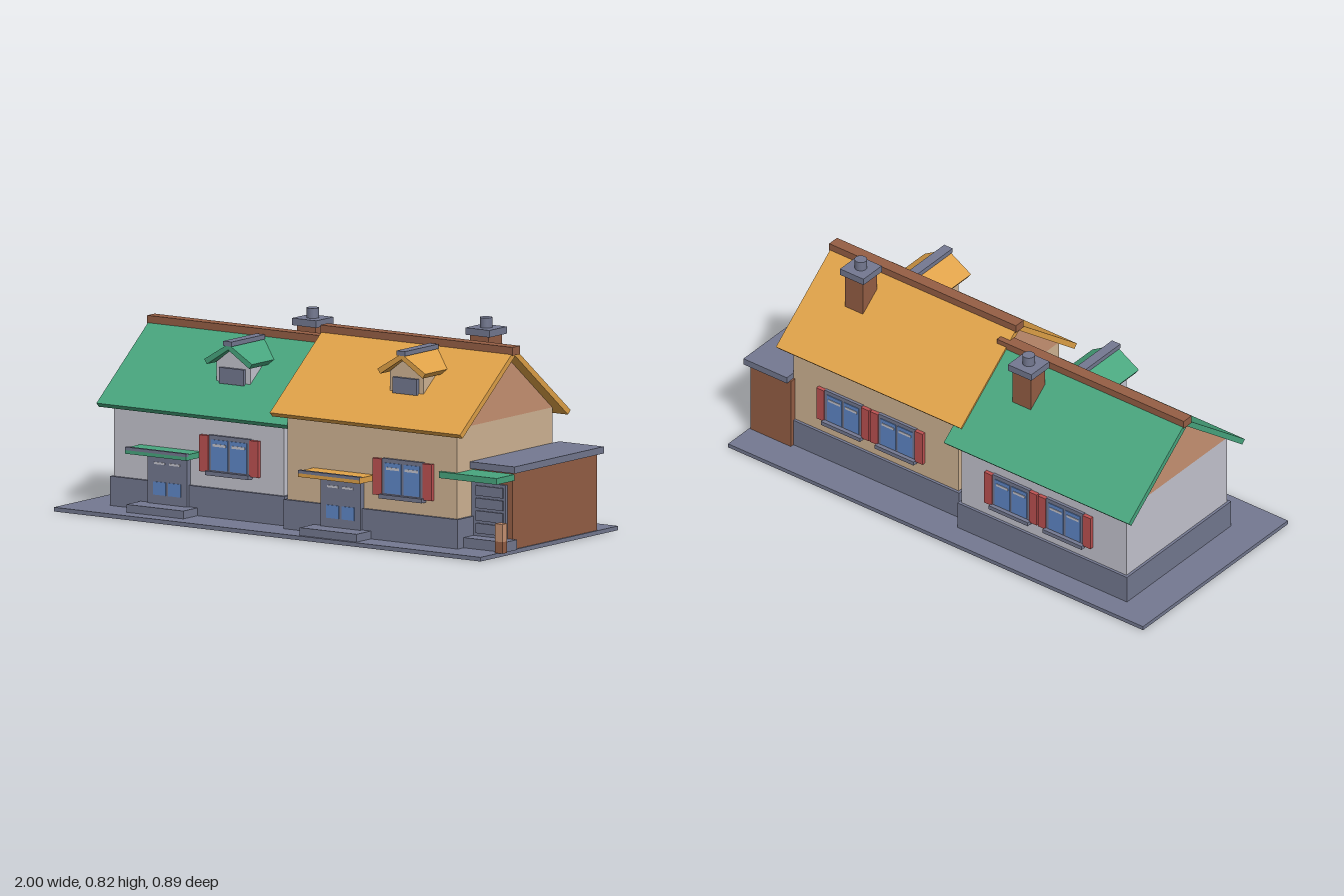
import * as THREE from 'three';

const mat = (name, color, side = THREE.FrontSide) => {
  const m = new THREE.MeshStandardMaterial({ color });
  m.name = name;
  m.side = side;
  return m;
};
const M = {
  slate: mat('slate grey', 0x747991),
  green: mat('green roof', 0x48a67e),
  orange: mat('orange roof', 0xe0a248),
  white: mat('white plaster', 0xc6c6d0),
  tan: mat('tan plaster', 0xd2b695),
  brick: mat('brick', 0x965f45),
  gable: mat('gable clay', 0xc99373),
  red: mat('shutter red', 0xbd5252),
  glass: mat('glass blue', 0x5f88c8),
};

// Box given by its min and max on each axis
function box(parent, name, material, x0, x1, y0, y1, z0, z1) {
  const mesh = new THREE.Mesh(new THREE.BoxGeometry(x1 - x0, y1 - y0, z1 - z0), material);
  mesh.position.set((x0 + x1) / 2, (y0 + y1) / 2, (z0 + z1) / 2);
  mesh.name = name;
  parent.add(mesh);
  return mesh;
}

// Outline in the x-y plane, extruded from z0 to z1
function prism(parent, name, material, pts, z0, z1) {
  const shape = new THREE.Shape(pts.map(p => new THREE.Vector2(p[0], p[1])));
  const geo = new THREE.ExtrudeGeometry(shape, { depth: z1 - z0, bevelEnabled: false });
  geo.translate(0, 0, z0);
  const mesh = new THREE.Mesh(geo, material);
  mesh.name = name;
  parent.add(mesh);
  return mesh;
}

function group(parent, name, x = 0, y = 0, z = 0) {
  const g = new THREE.Group();
  g.name = name;
  g.position.set(x, y, z);
  parent.add(g);
  return g;
}

// Shuttered window facing +z, wall plane at z = 0
function windowUnit(parent, x, z, halfW, shutterW, back) {
  const g = group(parent, back ? 'backWindow' : 'frontWindow', x, 0, z);
  if (back) g.rotation.y = Math.PI;
  const w = halfW;
  box(g, 'windowFrame', M.slate, -w, w, 0.185, 0.33, -0.01, 0.012);
  box(g, 'windowSill', M.slate, -w - 0.005, w + 0.005, 0.178, 0.194, -0.01, 0.029);
  for (const s of [-1, 1]) {
    const c = s * w * 0.46, h = w * 0.4;
    box(g, 'pane', M.glass, c - h, c + h, 0.198, 0.314, 0.01, 0.015);
    box(g, 'paneHighlight', M.white, c - h * 0.8, c + h * 0.8, 0.288, 0.298, 0.012, 0.017);
    const sx = s * (w + shutterW / 2);
    box(g, 'shutter', M.red, sx - shutterW / 2, sx + shutterW / 2, 0.188, 0.327, -0.005, 0.016);
  }
}

// Front door with canopy and step, wall plane at z = 0
function entrance(parent, x, z, roofMat) {
  const g = group(parent, 'entrance', x, 0, z);
  box(g, 'doorFrame', M.slate, -0.092, 0.092, 0.04, 0.23, -0.01, 0.023);
  for (const s of [-1, 1]) {
    const c = s * 0.035;
    box(g, 'doorPane', M.glass, c - 0.029, c + 0.029, 0.08, 0.13, 0.021, 0.026);
    box(g, 'doorHighlight', M.white, c - 0.025, c + 0.025, 0.197, 0.205, 0.021, 0.026);
  }
  box(g, 'canopy', roofMat, -0.142, 0.142, 0.238, 0.26, -0.01, 0.098);
  box(g, 'canopyGutter', M.slate, -0.142, 0.142, 0.252, 0.264, 0.084, 0.099);
  box(g, 'doorStep', M.slate, -0.132, 0.132, 0.016, 0.046, 0, 0.103);
}

function dormer(parent, x, roofMat, wallMat) {
  const g = group(parent, 'dormer', x);
  const w = 0.078;
  prism(g, 'dormerWalls', wallMat,
    [[-w, 0.5], [w, 0.5], [w, 0.645], [0, 0.703], [-w, 0.645]], 0.05, 0.216);
  prism(g, 'dormerRoof', roofMat,
    [[-0.098, 0.637], [0, 0.7], [0.098, 0.637], [0.111, 0.655], [0, 0.722], [-0.111, 0.655]], 0.04, 0.251);
  box(g, 'dormerRidge', M.slate, -0.02, 0.02, 0.715, 0.733, 0.04, 0.255);
  box(g, 'dormerWindow', M.slate, -0.056, 0.056, 0.565, 0.626, 0.2, 0.23);
}

function chimney(parent, x, z) {
  const g = group(parent, 'chimney', x, 0, z);
  box(g, 'chimneyStack', M.brick, -0.043, 0.043, 0.56, 0.762, -0.043, 0.043);
  box(g, 'chimneyCap', M.slate, -0.056, 0.056, 0.76, 0.787, -0.056, 0.056);
  const pot = new THREE.Mesh(new THREE.CylinderGeometry(0.024, 0.024, 0.04, 16), M.slate);
  pot.position.y = 0.805;
  pot.name = 'chimneyPot';
  g.add(pot);
}

function house(parent, name, cx, cz, drop, roofMat, wallMat) {
  const g = group(parent, name, cx, 0, cz);
  const W = 0.393, D = 0.309;
  box(g, 'plinth', M.slate, -W - 0.011, W + 0.011, 0.016, 0.128, -D - 0.011, D + 0.011);
  box(g, 'walls', wallMat, -W, W, 0.1, 0.472 - drop, -D, D);

  // Everything above the eaves shifts with the roof height
  const top = group(g, 'upperStorey', 0, -drop, 0);
  prism(top, 'gables', M.gable, [[-D, 0.472], [D, 0.472], [0, 0.717]], -W, W).rotation.y = Math.PI / 2;
  prism(top, 'roof', roofMat,
    [[-0.341, 0.444], [0, 0.714], [0.341, 0.444], [0.357, 0.46], [0, 0.741], [-0.357, 0.46]],
    -0.441, 0.441).rotation.y = Math.PI / 2;
  box(top, 'roofRidge', M.brick, -0.445, 0.445, 0.718, 0.75, -0.024, 0.024);
  dormer(top, 0.093, roofMat, wallMat);
  chimney(top, 0.221, -0.118);

  entrance(g, -0.131, D, roofMat);
  windowUnit(g, 0.149, D, 0.095, 0.042, false);
  for (const x of [0.148, -0.108]) windowUnit(g, x, -D, 0.088, 0.037, true);
}

// Flat-roofed side annex with its own porch
function annex(parent) {
  const g = group(parent, 'annex');
  box(g, 'annexWalls', M.brick, 0.78, 0.972, 0.016, 0.312, -0.315, 0.23);
  box(g, 'annexRoof', M.slate, 0.787, 0.994, 0.31, 0.336, -0.33, 0.247);
  box(g, 'annexDoor', M.slate, 0.79, 0.948, 0.05, 0.26, 0.22, 0.24);
  for (let i = 0; i < 4; i++) {
    const y = 0.066 + i * 0.048;
    box(g, 'doorPanel', M.slate, 0.812, 0.938, y, y + 0.038, 0.238, 0.247);
  }
  box(g, 'annexStep', M.slate, 0.79, 0.99, 0.016, 0.055, 0.225, 0.303);
  box(g, 'annexCanopy', M.green, 0.714, 0.982, 0.28, 0.304, 0.23, 0.346);
  box(g, 'postBase', M.brick, 0.962, 0.998, 0.016, 0.06, 0.302, 0.33);
  box(g, 'post', M.gable, 0.962, 0.998, 0.06, 0.128, 0.3, 0.33);
}

export function createModel() {
  const model = new THREE.Group();
  model.name = 'semiDetachedHouses';
  box(model, 'groundSlab', M.slate, -1, 0.978, 0, 0.016, -0.445, 0.445);
  house(model, 'greenHouse', -0.448, -0.033, 0.052, M.green, M.white);
  house(model, 'orangeHouse', 0.394, 0.021, 0, M.orange, M.tan);
  annex(model);
  return model;
}
